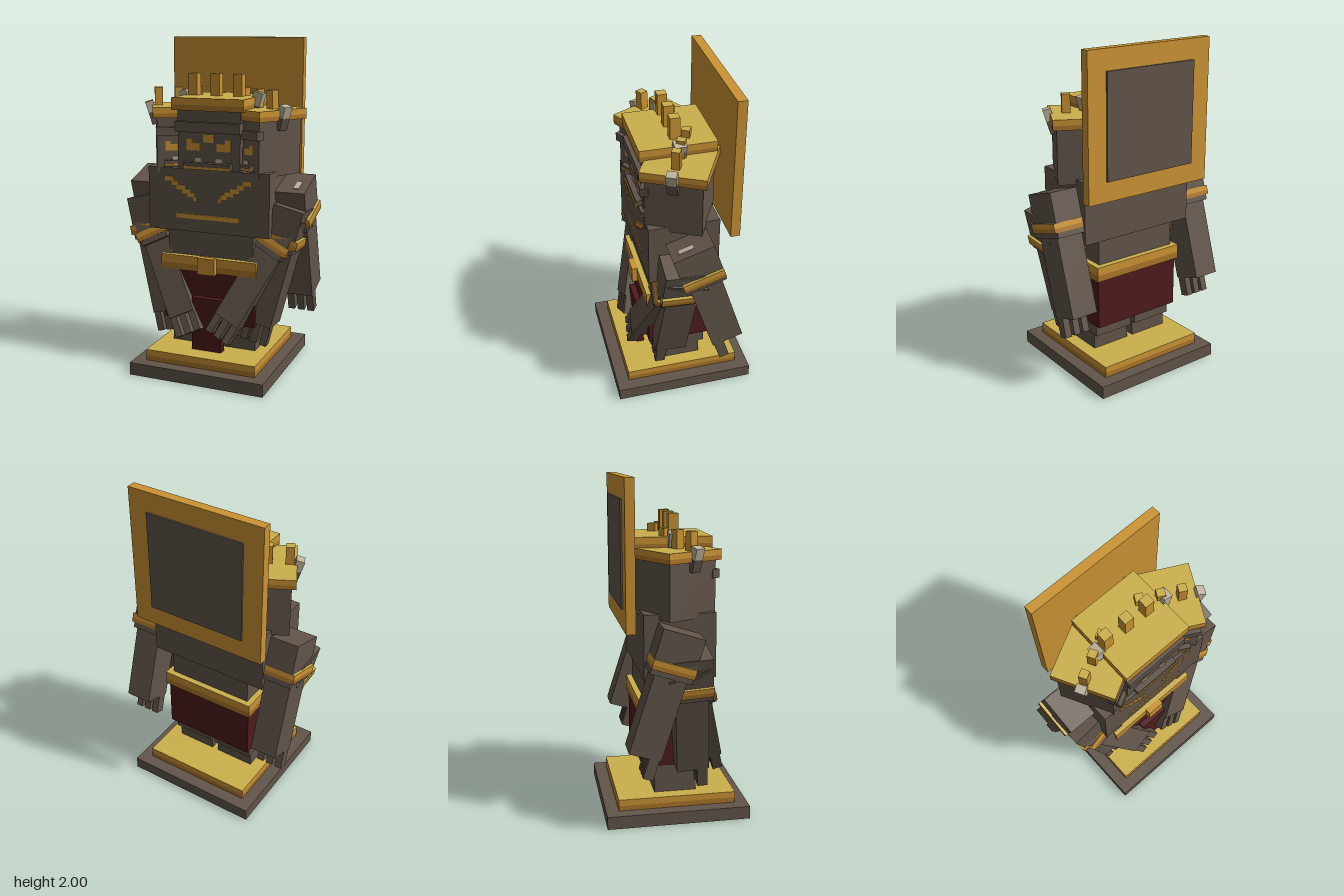
import * as THREE from 'three';

const mat = (name, color) => {
  const m = new THREE.MeshStandardMaterial({ color });
  m.name = name;
  return m;
};

export function createModel() {
  const stone = mat('stone', 0x62554b);
  const gold = mat('gold', 0xcc9434);
  const darkGold = mat('dark gold', 0xac762a);
  const paleGold = mat('pale gold', 0xccb04c);
  const cloth = mat('red cloth', 0x4f1b1d);
  const bone = mat('bone', 0xc0b49c);
  const goldTopped = [gold, gold, paleGold, gold, gold, gold];

  const model = new THREE.Group();
  model.name = 'statue';

  const group = (parent, name, x = 0, y = 0, z = 0) => {
    const g = new THREE.Group();
    g.name = name;
    g.position.set(x, y, z);
    parent.add(g);
    return g;
  };
  // Box given by its size and centre
  const box = (parent, name, m, w, h, d, x, y, z) => {
    const b = new THREE.Mesh(new THREE.BoxGeometry(w, h, d), m);
    b.name = name;
    b.position.set(x, y, z);
    parent.add(b);
    return b;
  };
  // Gold slab: pale top, bright upper edge, darker lower edge
  const slab = (parent, name, w, h, d, x, y, z) => {
    const g = group(parent, name, x, y, z);
    box(g, name + 'Upper', goldTopped, w, h * 0.55, d, 0, h * 0.225, 0);
    box(g, name + 'Lower', darkGold, w, h * 0.45, d, 0, -h * 0.275, 0);
    return g;
  };

  // Base
  box(model, 'plinth', stone, 0.85, 0.077, 0.85, 0, 0.0385, 0);
  slab(model, 'plinthTop', 0.7, 0.068, 0.7, 0, 0.111, 0);

  // Legs, skirt and belt
  for (const s of [-1, 1]) {
    box(model, 'lowerLeg', stone, 0.25, 0.12, 0.25, s * 0.145, 0.2, 0);
    box(model, 'thigh', stone, 0.26, 0.2, 0.31, s * 0.145, 0.34, 0);
  }
  box(model, 'skirt', cloth, 0.58, 0.32, 0.4, 0, 0.48, 0);
  box(model, 'loincloth', cloth, 0.19, 0.33, 0.045, 0, 0.31, 0.215);
  slab(model, 'belt', 0.61, 0.09, 0.43, 0, 0.675, 0);
  box(model, 'buckle', gold, 0.11, 0.1, 0.04, 0, 0.675, 0.228);

  // Torso
  box(model, 'waist', stone, 0.54, 0.25, 0.36, 0, 0.78, 0);
  box(model, 'chest', stone, 0.76, 0.375, 0.415, 0, 1.062, 0.007);
  box(model, 'chestStripe', gold, 0.4, 0.026, 0.008, 0, 0.966, 0.215);
  const necklace = [[0.245, 1.185, 0.05], [0.205, 1.16, 0.04], [0.17, 1.137, 0.055],
    [0.135, 1.115, 0.05], [0.105, 1.096, 0.04], [0.077, 1.074, 0.02]];
  for (const s of [-1, 1])
    for (const [x, y, w] of necklace)
      box(model, 'necklaceBead', gold, w, 0.026, 0.008, s * x, y, 0.215);

  // Halo board
  box(model, 'halo', gold, 0.85, 0.85, 0.055, 0, 1.575, -0.278);
  box(model, 'haloBackPanel', stone, 0.61, 0.61, 0.012, 0, 1.575, -0.31);

  // Arms: three pairs, hung from the shoulder
  const arm = (name, s, x, y, z, tiltX, tiltZ) => {
    const a = group(model, name, s * x, y, z);
    a.rotation.set(tiltX, 0, -s * tiltZ);
    box(a, 'upperArm', stone, 0.18, 0.26, 0.245, 0, -0.13, 0);
    slab(a, 'armBand', 0.215, 0.055, 0.25, 0, -0.2, 0);
    box(a, 'forearm', stone, 0.165, 0.52, 0.19, 0, -0.47, 0);
    for (const i of [-1, 0, 1])
      box(a, 'finger', stone, 0.042, 0.13, 0.06, i * 0.061, -0.785, 0.055);
    return a;
  };
  for (const s of [-1, 1]) {
    const back = arm('backArm', s, 0.465, 1.17, 0, 0.31, 0);
    if (s > 0) box(back, 'shoulderChip', bone, 0.035, 0.008, 0.09, 0.025, 0.001, 0.03);
    arm('middleArm', s, 0.475, 1.04, 0.035, -0.07, 0.24);
    arm('frontArm', s, 0.475, 0.975, 0.015, -0.28, 0.47);
  }

  // Heads: a cube with face, crown and horns; the origin is at its top
  const head = (name, scale, x, y, turn) => {
    const h = group(model, name, x, y, 0);
    h.rotation.y = turn;
    h.scale.setScalar(scale);
    box(h, 'skull', stone, 0.39, 0.39, 0.39, 0, -0.195, 0);
    box(h, 'brow', stone, 0.405, 0.06, 0.06, 0, -0.1, 0.195);
    box(h, 'jaw', stone, 0.29, 0.035, 0.06, 0, -0.322, 0.2);
    box(h, 'lip', gold, 0.29, 0.016, 0.008, 0, -0.335, 0.231);
    box(h, 'thirdEye', gold, 0.065, 0.045, 0.008, 0, -0.165, 0.196);
    for (const s of [-1, 1]) {
      box(h, 'eye', gold, 0.085, 0.045, 0.008, s * 0.095, -0.215, 0.196);
      box(h, 'eyeCorner', gold, 0.035, 0.025, 0.008, s * 0.12, -0.182, 0.196);
      box(h, 'tooth', bone, 0.04, 0.025, 0.008, s * 0.065, -0.293, 0.196);
      const horn = group(h, 'horn', s * 0.215, 0, 0);
      horn.rotation.z = -s * 0.3;
      box(horn, 'hornRoot', stone, 0.058, 0.09, 0.07, 0, -0.025, 0);
      box(horn, 'hornTip', bone, 0.058, 0.08, 0.07, 0, 0.06, 0);
    }
    slab(h, 'crown', 0.445, 0.072, 0.445, 0, 0.031, 0);
    for (const sx of [-0.173, -0.03, 0.113])
      box(h, 'crownSpike', goldTopped, 0.058, 0.135, 0.058, sx, 0.128, 0);
  };
  head('middleHead', 1, 0, 1.595, 0);
  head('rightHead', 0.835, -0.25, 1.545, 0.485);
  head('leftHead', 0.835, 0.25, 1.545, -0.485);

  return model;
}
